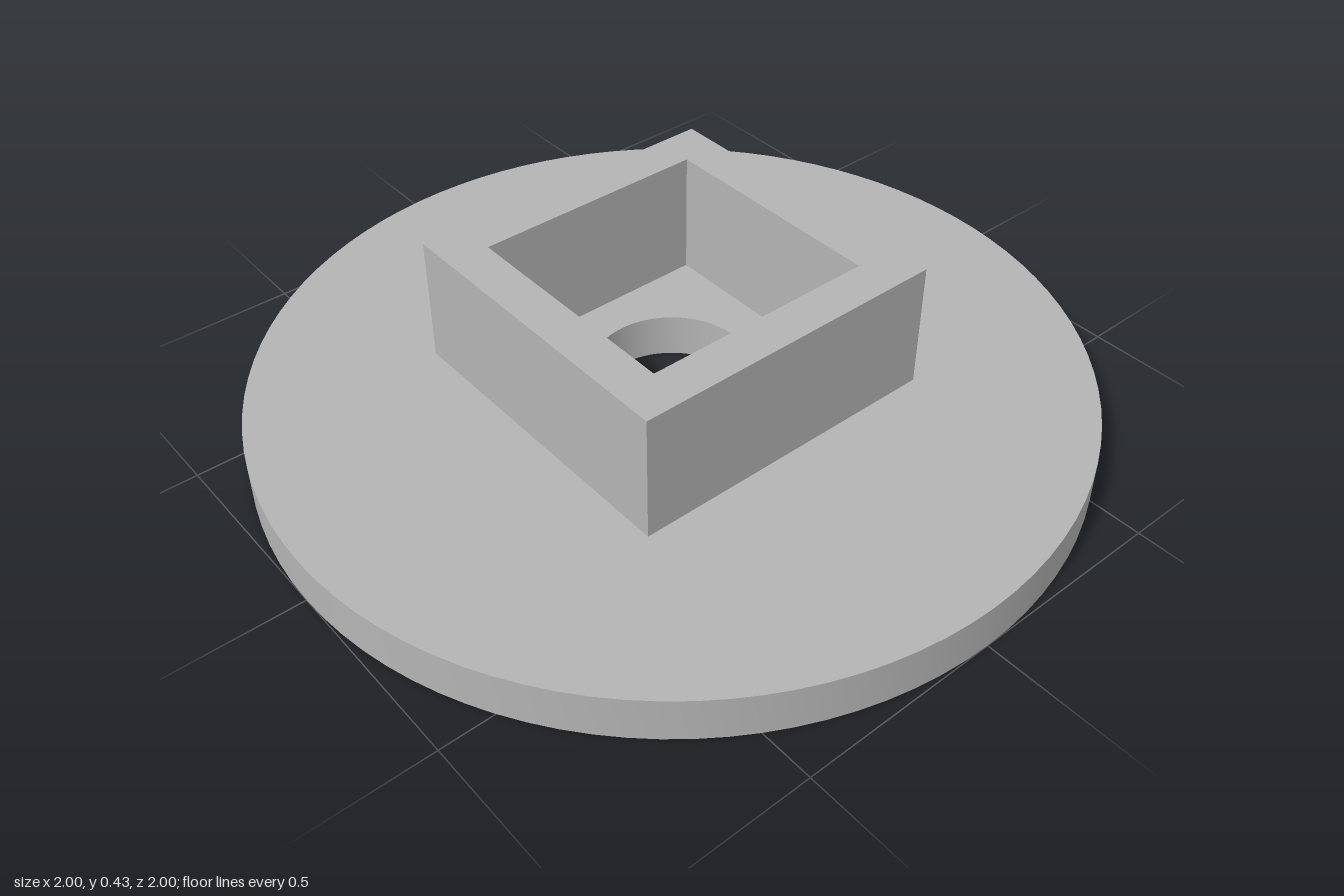
import * as THREE from 'three';
import { toCreasedNormals } from 'three/addons/utils/BufferGeometryUtils.js';

const FLANGE_RADIUS = 1, BORE_RADIUS = 0.193, FLANGE_HEIGHT = 0.112;
const SOCKET_OUTER = 0.403, SOCKET_INNER = 0.297, TOP = 0.43;

const grey = new THREE.MeshStandardMaterial({ color: 0xb4b4b4 });
grey.name = 'grey';

// Trace a centred circle or square onto a shape or hole path
function circle(path, r) {
  return path.absarc(0, 0, r, 0, Math.PI * 2, false);
}
function square(path, h) {
  return path.moveTo(-h, -h).lineTo(h, -h).lineTo(h, h).lineTo(-h, h).closePath();
}

// Extrude an outline with one hole upwards from height y0 to y1
function ring(name, outline, hole, y0, y1) {
  outline.holes.push(hole);
  const extruded = new THREE.ExtrudeGeometry(outline, {
    depth: y1 - y0, bevelEnabled: false, curveSegments: 48,
  });
  extruded.rotateX(-Math.PI / 2).translate(0, y0, 0);
  const mesh = new THREE.Mesh(toCreasedNormals(extruded, 0.6), grey);
  mesh.name = name;
  return mesh;
}

export function createModel() {
  const model = new THREE.Group();
  model.name = 'flangedSocket';

  // Round base plate with a central bore
  model.add(ring('flange', circle(new THREE.Shape(), FLANGE_RADIUS),
    circle(new THREE.Path(), BORE_RADIUS), 0, FLANGE_HEIGHT));

  // Square walled socket standing on the plate
  model.add(ring('socket', square(new THREE.Shape(), SOCKET_OUTER),
    square(new THREE.Path(), SOCKET_INNER), FLANGE_HEIGHT, TOP));

  return model;
}
